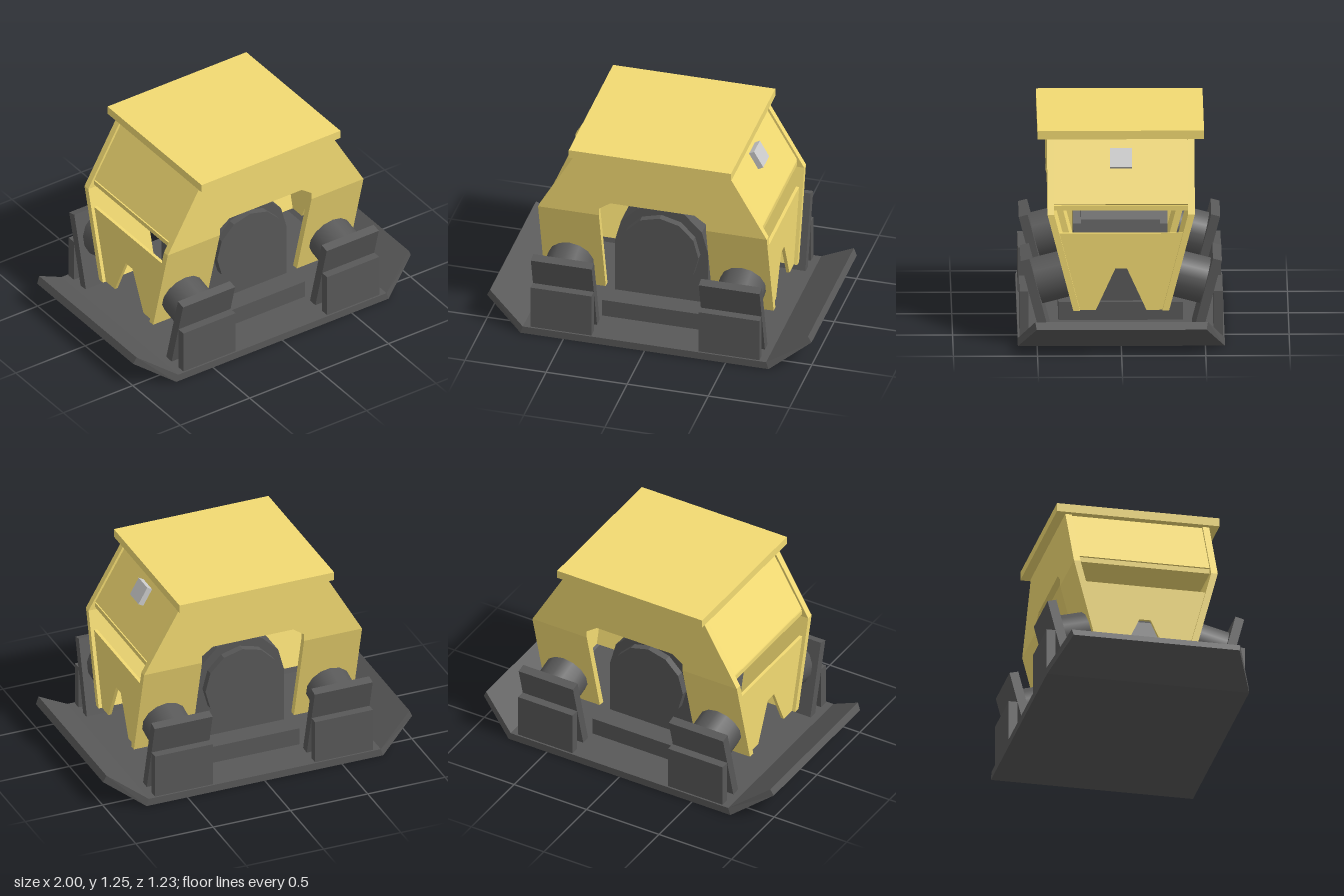
import * as THREE from 'three';

const yellow = new THREE.MeshStandardMaterial({ color: 0xf2da72, flatShading: true });
const dark = new THREE.MeshStandardMaterial({ color: 0x585858, flatShading: true });
const darkSmooth = new THREE.MeshStandardMaterial({ color: 0x585858 });
const grey = new THREE.MeshStandardMaterial({ color: 0xcccccc, flatShading: true });

const BEND = 0.79; // height where the end panels start leaning inward
const LEAN = 0.26; // inward lean per unit of height
const TILT = Math.atan(LEAN);

function add(parent, name, geometry, material, x = 0, y = 0, z = 0) {
  const mesh = new THREE.Mesh(geometry, material);
  mesh.name = name;
  mesh.position.set(x, y, z);
  parent.add(mesh);
  return mesh;
}

const box = (w, h, d) => new THREE.BoxGeometry(w, h, d);

function plate(points, depth) {
  const shape = new THREE.Shape(points.map(([x, y]) => new THREE.Vector2(x, y)));
  return new THREE.ExtrudeGeometry(shape, { depth, bevelEnabled: false });
}

// Sole plate: four-corner sections lofted along x, with raised, tapered ends
function soleGeometry() {
  const sections = [ // bottom x, bottom y, bottom half z, top x, top y, top half z
    [-1, 0.16, 0.505, -0.98, 0.203, 0.513],
    [-0.765, 0, 0.615, -0.75, 0.046, 0.615],
    [0.765, 0, 0.615, 0.75, 0.046, 0.615],
    [1, 0.16, 0.505, 0.98, 0.203, 0.513],
  ];
  const pos = [];
  const index = [];
  for (const [bx, by, bz, tx, ty, tz] of sections) {
    pos.push(bx, by, bz, bx, by, -bz, tx, ty, -tz, tx, ty, tz);
  }
  for (let s = 0; s < 3; s++) {
    for (let k = 0; k < 4; k++) {
      const a = s * 4 + k, b = s * 4 + (k + 1) % 4;
      index.push(a, b, b + 4, a, b + 4, a + 4);
    }
  }
  index.push(0, 3, 2, 0, 2, 1, 12, 13, 14, 12, 14, 15);
  const g = new THREE.BufferGeometry();
  g.setAttribute('position', new THREE.Float32BufferAttribute(pos, 3));
  g.setIndex(index);
  const flat = g.toNonIndexed();
  flat.computeVertexNormals();
  return flat;
}

// One end of the machine, built facing +z
function buildEnd() {
  const end = new THREE.Group();
  end.name = 'endAssembly';

  // Upper part of the end panel with the arch cut into it
  add(end, 'endPanel', plate([
    [-0.705, BEND], [-0.33, BEND], [-0.33, 0.835], [-0.26, 0.885],
    [0.26, 0.885], [0.33, 0.835], [0.33, BEND], [0.705, BEND],
    [0.47, 1.2], [-0.47, 1.2],
  ], 0.04), yellow, 0, 0, 0.398);

  for (const s of [-1, 1]) {
    // Leaning leg: a box sheared inward toward the bottom
    const leg = box(0.375, BEND - 0.2, 0.04);
    leg.translate(s * 0.5175, (BEND + 0.2) / 2, 0.418);
    const p = leg.attributes.position;
    for (let i = 0; i < p.count; i++) p.setZ(i, p.getZ(i) - (BEND - p.getY(i)) * LEAN);
    leg.computeVertexNormals();
    add(end, 'leg', leg, yellow);

    // Rubber mount between the leg and the leaning plate
    const mount = new THREE.CylinderGeometry(0.142, 0.142, 0.19, 14);
    mount.rotateX(Math.PI / 2 + TILT);
    add(end, 'rubberMount', mount, darkSmooth, s * 0.53, 0.362, 0.42);

    // Leaning plate standing on the sole, and the upright stop in front of it
    const lean = add(end, 'mountPlate', box(0.375, 0.485, 0.055), dark, s * 0.5175, 0.278, 0.511);
    lean.rotation.x = TILT;
    add(end, 'stopPlate', box(0.375, 0.28, 0.054), dark, s * 0.5175, 0.18, 0.577);
  }
  return end;
}

// One side of the housing, built facing +x
function buildSide() {
  const side = new THREE.Group();
  side.name = 'sideAssembly';

  // Sloping upper panel, cut square to its slope
  add(side, 'slopedPanel', plate([
    [0.453, 1.2], [0.42, 1.2], [0.634, 0.828], [0.66, 0.843],
  ], 0.8), yellow, 0, 0, -0.4);
  add(side, 'shelf', box(0.26, 0.03, 0.8), yellow, 0.532, 0.82, 0);

  // Lower panel with a tapered notch
  const lower = plate([
    [-0.245, 0.2], [-0.15, 0.2], [-0.035, 0.453], [0.035, 0.453],
    [0.15, 0.2], [0.245, 0.2], [0.367, 0.67], [-0.367, 0.67],
  ], 0.02);
  lower.rotateY(Math.PI / 2);
  add(side, 'lowerSidePanel', lower, yellow, 0.663, 0, 0);
  return side;
}

export function createModel() {
  const model = new THREE.Group();
  model.name = 'plateCompactor';

  add(model, 'solePlate', soleGeometry(), dark);
  add(model, 'roofPlate', box(1, 0.052, 0.99), yellow, 0, 1.226, 0);

  // Matching halves by half a turn
  for (const turn of [0, Math.PI]) {
    const end = buildEnd();
    const side = buildSide();
    end.rotation.y = side.rotation.y = turn;
    model.add(end, side);
  }

  // Vibrator: base, round-topped body and drum showing at both ends
  add(model, 'vibratorBase', box(0.66, 0.11, 0.74), dark, 0, 0.1, 0);
  const body = [[-0.288, 0.045], [0.288, 0.045]];
  for (let i = 0; i <= 6; i++) {
    const a = (i * Math.PI) / 6;
    body.push([0.288 * Math.cos(a), 0.497 + 0.288 * Math.sin(a)]);
  }
  add(model, 'vibratorBody', plate(body, 0.47), dark, 0, 0, -0.235);
  const drum = new THREE.CylinderGeometry(0.24, 0.24, 0.56, 12);
  drum.rotateX(Math.PI / 2);
  add(model, 'vibratorDrum', drum, dark, 0, 0.485, 0);

  // Small box on the left slope
  const small = add(model, 'controlBox', box(0.036, 0.115, 0.13), grey, 0.537, 1.093, 0);
  small.rotation.z = Math.atan2(0.235, 0.41);

  return model;
}
